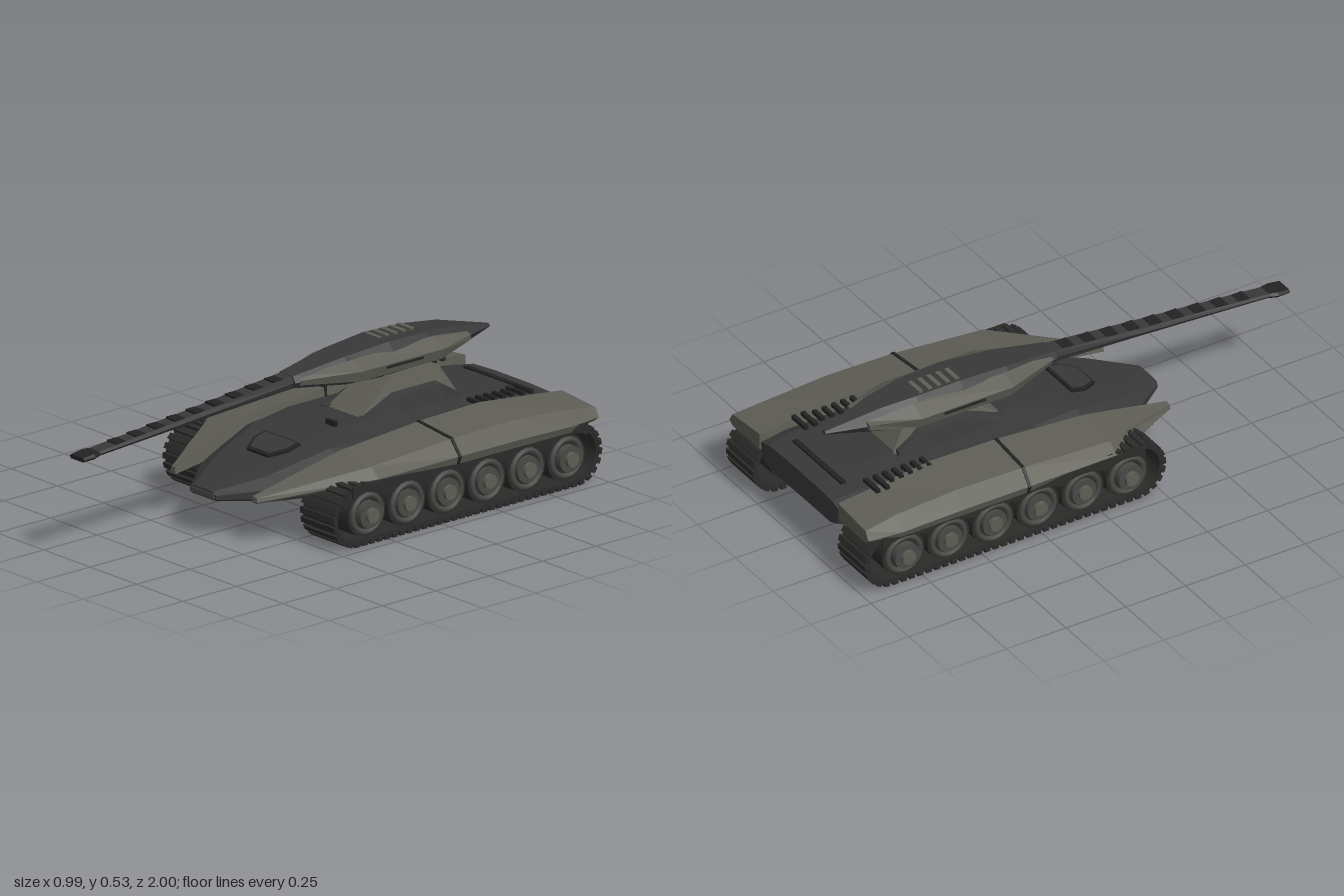
import * as THREE from 'three';
import { mergeGeometries } from 'three/addons/utils/BufferGeometryUtils.js';

const material = (name, color, extra = {}) => {
  const m = new THREE.MeshStandardMaterial({ color, ...extra });
  m.name = name;
  return m;
};

// Solid through cross-sections [z, points], back to front, points counter-clockwise seen from the front
function loft(sections) {
  const pos = [];
  const tri = (a, b, c) => pos.push(...a, ...b, ...c);
  const rings = sections.map(([z, pts]) => pts.map(([x, y]) => [x, y, z]));
  const n = rings[0].length;
  for (let i = 0; i < rings.length - 1; i++) {
    for (let j = 0; j < n; j++) {
      const k = (j + 1) % n;
      tri(rings[i][j], rings[i][k], rings[i + 1][k]);
      tri(rings[i][j], rings[i + 1][k], rings[i + 1][j]);
    }
  }
  const back = rings[0], front = rings[rings.length - 1];
  for (let j = 1; j < n - 1; j++) {
    tri(back[0], back[j + 1], back[j]);
    tri(front[0], front[j], front[j + 1]);
  }
  const g = new THREE.BufferGeometry();
  g.setAttribute('position', new THREE.Float32BufferAttribute(pos, 3));
  g.computeVertexNormals();
  return g;
}
// Half profile, bottom to top on +x, completed by its mirror image
const sym = (half) => [...half, ...half.map(([x, y]) => [-x, y]).reverse()];
const symLoft = (sections) => loft(sections.map(([z, h]) => [z, sym(h)]));
const sided = (sections, s) =>
  loft(sections.map(([z, p]) => [z, s > 0 ? p : p.map(([x, y]) => [-x, y]).reverse()]));
const box = (w, h, d, x, y, z) => new THREE.BoxGeometry(w, h, d).translate(x, y, z);

export function createModel() {
  const root = new THREE.Group();
  const hullMat = material('charcoal hull', 0x383838);
  const armour = material('olive grey armour', 0x5d5d55);
  const trackMat = material('track black', 0x2b2b2a);
  const wheelMat = material('wheel grey', 0x484845);
  const black = material('slot black', 0x222222);
  const add = (name, geometry, mat, parent = root) => {
    const m = new THREE.Mesh(geometry, mat);
    m.name = name;
    parent.add(m);
    return m;
  };

  // Hull with a tapering wedge nose
  add('hull', symLoft([
    [-0.98, [[0.2, 0.17], [0.25, 0.19], [0.26, 0.25], [0.21, 0.265], [0.1, 0.27]]],
    [-0.88, [[0.22, 0.13], [0.27, 0.16], [0.28, 0.26], [0.22, 0.28], [0.1, 0.285]]],
    [-0.5, [[0.26, 0.13], [0.28, 0.16], [0.28, 0.27], [0.22, 0.29], [0.1, 0.305]]],
    [-0.15, [[0.26, 0.13], [0.28, 0.16], [0.28, 0.27], [0.22, 0.29], [0.1, 0.305]]],
    [0.05, [[0.26, 0.13], [0.27, 0.155], [0.26, 0.25], [0.2, 0.283], [0.1, 0.288]]],
    [0.3, [[0.18, 0.135], [0.2, 0.15], [0.2, 0.185], [0.14, 0.217], [0.08, 0.222]]],
    [0.47, [[0.06, 0.145], [0.07, 0.15], [0.07, 0.165], [0.05, 0.175], [0.03, 0.177]]],
  ]), hullMat);
  add('nosePlate', box(0.12, 0.018, 0.008, 0, 0.16, 0.471), wheelMat);

  // Driver hatch on the sloping deck
  const hatch = (w) => {
    const s = new THREE.Shape([[-w * 0.6, -w * 0.7], [w * 0.6, -w * 0.7], [w, 0], [w, w * 0.6],
      [-w, w * 0.6], [-w, 0]].map(([x, y]) => new THREE.Vector2(x, y)));
    return new THREE.ExtrudeGeometry(s, { depth: 0.01, bevelEnabled: false })
      .rotateX(-Math.PI / 2 + 0.24).translate(0, 0.263, 0.15);
  };
  add('hatchRim', hatch(0.095), black);
  add('hatchLid', hatch(0.08).translate(0, 0.004, 0.001), hullMat);
  add('rearDeckSlot', box(0.32, 0.008, 0.02, 0, 0.285, -0.9), black);

  // Fenders, pointed at the front, with a dark seam
  const fender = [
    [-0.985, [[0.26, 0.22], [0.44, 0.22], [0.46, 0.235], [0.44, 0.268], [0.26, 0.285]]],
    [-0.85, [[0.25, 0.21], [0.465, 0.21], [0.475, 0.235], [0.43, 0.285], [0.26, 0.3]]],
    [-0.6, [[0.24, 0.2], [0.465, 0.21], [0.475, 0.24], [0.43, 0.3], [0.255, 0.325]]],
    [-0.32, [[0.24, 0.2], [0.465, 0.21], [0.475, 0.24], [0.43, 0.295], [0.25, 0.315]]],
    [0.05, [[0.235, 0.2], [0.45, 0.215], [0.465, 0.235], [0.42, 0.27], [0.25, 0.287]]],
    [0.42, [[0.205, 0.165], [0.23, 0.165], [0.235, 0.17], [0.23, 0.185], [0.21, 0.19]]],
  ];
  const seam = [[0.24, 0.2], [0.467, 0.209], [0.479, 0.24], [0.432, 0.299], [0.249, 0.319]];

  // Scalloped skirt above the wheels
  const wheelZ = Array.from({ length: 6 }, (_, i) => 0.1 - i * 0.187);
  const skirt = new THREE.Shape();
  skirt.moveTo(-0.17, 0.23);
  skirt.lineTo(-0.17, 0.185);
  for (const z of wheelZ) skirt.quadraticCurveTo(-z, 0.225, -z + 0.0935, 0.185);
  skirt.lineTo(0.93, 0.23);
  skirt.closePath();
  const skirtGeo = new THREE.ExtrudeGeometry(skirt, { depth: 0.008, bevelEnabled: false, curveSegments: 6 })
    .rotateY(Math.PI / 2);

  // Track belt: stadium ring with cleats on every link
  const z0 = 0.145, z1 = -0.885, cy = 0.115, run = z0 - z1;
  const stadium = (P, r) => {
    const p = new P();
    p.absarc(-z1, cy, r, -Math.PI / 2, Math.PI / 2, false);
    p.absarc(-z0, cy, r, Math.PI / 2, Math.PI * 1.5, false);
    p.closePath();
    return p;
  };
  const ring = stadium(THREE.Shape, 0.106);
  ring.holes.push(stadium(THREE.Path, 0.09));
  const belt = new THREE.ExtrudeGeometry(ring, { depth: 0.17, bevelEnabled: false, curveSegments: 12 })
    .rotateY(Math.PI / 2);
  const links = [];
  const r = 0.107, arc = Math.PI * r, total = 2 * (run + arc), count = 78;
  for (let i = 0; i < count; i++) {
    let d = (i / count) * total, z, y, a;
    if (d < run) [z, y, a] = [z0 - d, cy - r, Math.PI];
    else if (d < run + arc) {
      a = Math.PI + (d - run) / r;
      [z, y] = [z1 + Math.sin(a) * r, cy + Math.cos(a) * r];
    } else if (d < 2 * run + arc) [z, y, a] = [z1 + d - run - arc, cy + r, 0];
    else {
      a = (d - 2 * run - arc) / r;
      [z, y] = [z0 + Math.sin(a) * r, cy + Math.cos(a) * r];
    }
    links.push(new THREE.BoxGeometry(0.18, 0.016, 0.022).rotateX(a).translate(0, y, z));
  }
  const linkGeo = mergeGeometries(links);
  const disc = (radius, x0, x1) =>
    new THREE.CylinderGeometry(radius, radius, x1 - x0, 20).rotateZ(Math.PI / 2).translate((x0 + x1) / 2, 0, 0);

  for (const s of [1, -1]) {
    const side = s > 0 ? 'left' : 'right';
    add(side + 'Fender', sided(fender, s), armour);
    add(side + 'FenderSeam', sided([[-0.326, seam], [-0.314, seam]], s), black);
    add(side + 'Skirt', skirtGeo.clone().translate(s > 0 ? 0.457 : -0.465, 0, 0), trackMat);

    const track = new THREE.Group();
    track.name = side + 'Track';
    track.position.y = s > 0 ? 0 : 0.013;
    root.add(track);
    add('trackBelt', belt.clone().translate(s > 0 ? 0.285 : -0.455, 0, 0), trackMat, track);
    add('trackLinks', linkGeo.clone().translate(s * 0.37, 0, 0), trackMat, track);
    wheelZ.forEach((z, i) => {
      const wheel = new THREE.Group();
      wheel.name = 'roadWheel';
      wheel.position.set(0, 0.117, z);
      if (s < 0) wheel.rotation.y = Math.PI;
      track.add(wheel);
      const end = i === 0 || i === 5;
      add('tyre', disc(0.088, 0.29, 0.455), trackMat, wheel);
      add('wheelRim', new THREE.TorusGeometry(0.068, 0.011, 6, 20).rotateY(Math.PI / 2).translate(0.456, 0, 0), wheelMat, wheel);
      add('wheelDisc', disc(0.05, 0.45, end ? 0.48 : 0.468), wheelMat, wheel);
      add('hub', disc(0.027, 0.46, end ? 0.495 : 0.482), armour, wheel);
    });

    // Cooling fins beside the rear deck
    for (let i = 0; i < 7; i++) {
      const w = i < 2 ? 0.09 : 0.06;
      const x = s > 0 ? 0.215 : -0.215 - w / 2;
      add('coolingFin', box(w, 0.014, 0.016, x, 0.311, -0.845 + i * 0.039).translate(0, i * 0.001, 0), black);
    }
  }

  // Turret pedestal with side boxes
  const neck = new THREE.Group();
  neck.name = 'turretPedestal';
  neck.position.x = -0.02;
  root.add(neck);
  add('pedestal', symLoft([
    [-0.66, [[0.1, 0.28], [0.09, 0.305]]],
    [-0.59, [[0.11, 0.28], [0.07, 0.415]]],
    [-0.37, [[0.11, 0.28], [0.07, 0.415]]],
    [-0.2, [[0.1, 0.28], [0.09, 0.3]]],
  ]), armour, neck);
  const sideBox = [
    [-0.65, [[0.08, 0.28], [0.115, 0.28], [0.11, 0.31], [0.08, 0.31]]],
    [-0.56, [[0.07, 0.28], [0.135, 0.28], [0.115, 0.36], [0.07, 0.37]]],
    [-0.36, [[0.07, 0.28], [0.135, 0.28], [0.115, 0.36], [0.07, 0.37]]],
    [-0.2, [[0.08, 0.28], [0.125, 0.28], [0.115, 0.305], [0.08, 0.305]]],
  ];
  for (const s of [1, -1]) add('pedestalSideBox', sided(sideBox, s), hullMat, neck);
  add('deckBracket', box(0.05, 0.02, 0.015, 0.07, 0.31, -0.09), black, neck);

  // Long lens-shaped turret, set off centre
  const turret = new THREE.Group();
  turret.name = 'turret';
  turret.position.x = -0.07;
  root.add(turret);
  add('turretBody', symLoft([
    [-0.925, [[0.006, 0.452], [0.012, 0.458], [0.006, 0.465]]],
    [-0.72, [[0.05, 0.42], [0.08, 0.465], [0.045, 0.512]]],
    [-0.58, [[0.075, 0.41], [0.115, 0.465], [0.065, 0.525]]],
    [-0.4, [[0.08, 0.408], [0.12, 0.465], [0.07, 0.53]]],
    [-0.2, [[0.07, 0.415], [0.11, 0.465], [0.06, 0.515]]],
    [0.02, [[0.035, 0.44], [0.05, 0.462], [0.035, 0.485]]],
  ]), hullMat, turret);
  const pod = [
    [-0.78, [[0.05, 0.455], [0.075, 0.455], [0.075, 0.475], [0.05, 0.48]]],
    [-0.6, [[0.07, 0.425], [0.125, 0.435], [0.137, 0.475], [0.08, 0.51]]],
    [-0.22, [[0.07, 0.425], [0.125, 0.435], [0.137, 0.475], [0.08, 0.505]]],
    [0.0, [[0.03, 0.445], [0.05, 0.45], [0.055, 0.468], [0.035, 0.482]]],
  ];
  for (const s of [1, -1]) {
    add('turretCheek', sided(pod, s), armour, turret);
    add('cheekSlot', box(0.012, 0.008, 0.17, s * 0.134, 0.465, -0.42), black, turret);
  }
  for (let i = 0; i < 5; i++)
    add('roofSlat', box(0.075, 0.008, 0.018, -0.02, 0.53, -0.555 + i * 0.038), armour, turret);

  // Gently drooping flat gun with ribs and a wider muzzle
  const gunY = (z) => 0.462 - 0.074 * z;
  const gunSec = (z, w, h) => [z, [[w * 0.8, gunY(z) - h], [w, gunY(z)], [w * 0.8, gunY(z) + h]]];
  add('gunBarrel', symLoft([gunSec(-0.05, 0.04, 0.024), gunSec(0.4, 0.038, 0.014), gunSec(0.96, 0.032, 0.008)]), hullMat, turret);
  add('muzzle', symLoft([gunSec(0.92, 0.034, 0.009), gunSec(0.95, 0.043, 0.01), gunSec(1, 0.04, 0.008)]), black, turret);
  for (let i = 0; i < 9; i++) {
    const z = 0.08 + i * 0.092;
    add('gunRib', box(0.05, 0.008, 0.045, 0, gunY(z) + 0.0225 - 0.016 * z, z), black, turret);
  }
  return root;
}
